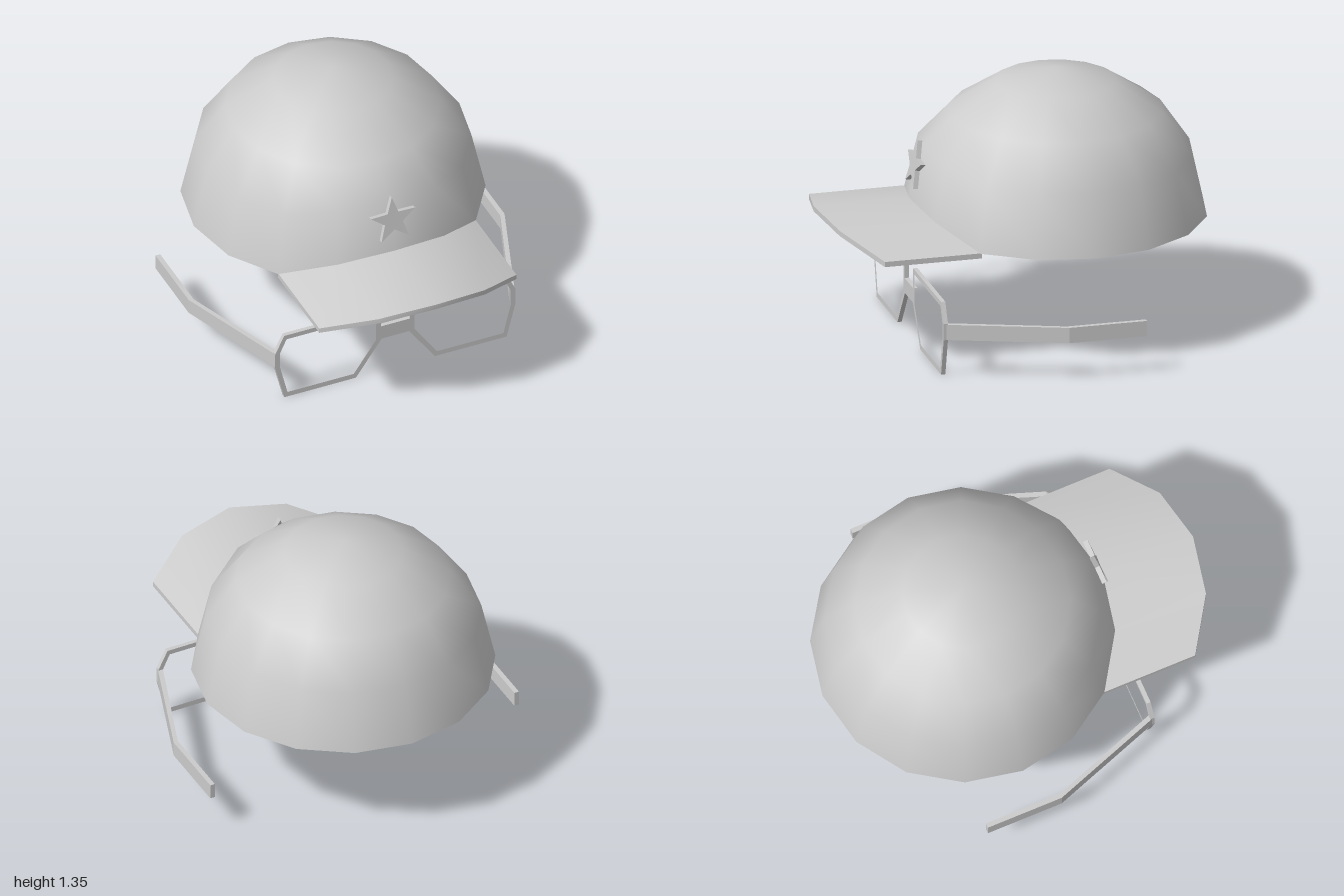
import * as THREE from 'three';
import { toCreasedNormals } from 'three/addons/utils/BufferGeometryUtils.js';

const material = new THREE.MeshStandardMaterial({ color: 0xcccccc });
const CAP_Z = -0.245;

function part(name, geometry, crease) {
  const mesh = new THREE.Mesh(crease ? toCreasedNormals(geometry, crease) : geometry, material);
  mesh.name = name;
  return mesh;
}

function moveVertices(geometry, rule) {
  const p = geometry.attributes.position;
  const v = new THREE.Vector3();
  for (let i = 0; i < p.count; i++) {
    rule(v.fromBufferAttribute(p, i));
    p.setXYZ(i, v.x, v.y, v.z);
  }
  return geometry;
}

const points = (list) => list.map(([x, y]) => new THREE.Vector2(x, y));

function extrude(shape, depth) {
  return new THREE.ExtrudeGeometry(shape, { depth, bevelEnabled: false });
}

// Thin 16-sided dome whose rim rises over the brim at the front
function crown() {
  const profile = points([
    [0.732, 0.595], [0.758, 0.595], [0.688, 0.91], [0.537, 1.13], [0.3, 1.283], [0, 1.348],
    [0, 1.318], [0.285, 1.255], [0.513, 1.108], [0.662, 0.9], [0.732, 0.595],
  ]);
  const lift = [1, 0.74, 0];
  const geometry = moveVertices(new THREE.LatheGeometry(profile, 16), (v) => {
    const step = Math.round(Math.abs(Math.atan2(v.x, v.z)) / (Math.PI / 8));
    const rise = v.y < 0.7 ? 0.125 : v.y < 1 ? 0.085 : 0;
    v.y += rise * (lift[step] ?? 0);
    v.z += CAP_Z;
  });
  return part('crown', geometry, 0.95);
}

// Arched brim: five stations across, following the crown at the back
function brim() {
  const xs = [-0.537, -0.29, 0, 0.29, 0.537];
  const back = [0.29, 0.455, 0.51, 0.455, 0.29];
  const top = [0.597, 0.692, 0.73, 0.692, 0.597];
  const geometry = moveVertices(new THREE.BoxGeometry(4, 1, 1, 4, 1, 1), (v) => {
    const i = Math.round(v.x) + 2;
    v.x = xs[i];
    v.y = top[i] - (v.y > 0 ? 0 : 0.027);
    v.z = back[i] + (v.z > 0 ? 0.49 : -0.01);
  });
  return part('brim', geometry, 0.5);
}

// Five-pointed badge leaning back against the crown
function star() {
  const corners = [];
  for (let i = 0; i < 10; i++) {
    const r = i % 2 ? 0.051 : 0.127;
    const a = Math.PI / 2 + (i * Math.PI) / 5;
    corners.push([r * Math.cos(a), r * Math.sin(a)]);
  }
  const mesh = part('star', extrude(new THREE.Shape(points(corners)), 0.025).translate(0, 0, -0.0125));
  mesh.position.set(0, 0.9, 0.477);
  mesh.rotation.x = -0.19;
  return mesh;
}

// Both rims and the bridge as one outline with two lens openings
function glassesFrame() {
  const half = [
    [0.08, 0.28], [0.08, 0.385], [0.605, 0.385], [0.655, 0.285], [0.655, 0.2],
    [0.605, 0.003], [0.215, 0.003], [0.075, 0.203],
  ];
  const hole = [
    [0.105, 0.36], [0.593, 0.36], [0.63, 0.28], [0.63, 0.203],
    [0.588, 0.03], [0.227, 0.03], [0.105, 0.205],
  ];
  const mirror = (list) => list.map(([x, y]) => [-x, y]).reverse();
  const shape = new THREE.Shape(points([...half, ...mirror(half)]));
  for (const h of [hole, mirror(hole)]) shape.holes.push(new THREE.Path(points(h)));
  return part('glassesFrame', extrude(shape, 0.022).translate(0, 0, 0.488));
}

// Bent side arm, drawn in plan (x, -z) and raised to its height
function temple(side) {
  const plan = [
    [0.63, 0.489], [0.655, 0.495], [0.86, -0.08],
    [0.86, -0.48], [0.835, -0.48], [0.835, -0.075],
  ].map(([x, z]) => [side * x, -z]);
  const geometry = extrude(new THREE.Shape(points(plan)), 0.08);
  geometry.rotateX(-Math.PI / 2).translate(0, 0.2, 0);
  return part(side > 0 ? 'leftTemple' : 'rightTemple', geometry);
}

export function createModel() {
  const model = new THREE.Group();
  const cap = new THREE.Group();
  cap.name = 'cap';
  cap.add(crown(), brim(), star());
  const glasses = new THREE.Group();
  glasses.name = 'glasses';
  glasses.add(glassesFrame(), temple(1), temple(-1));
  model.add(cap, glasses);
  return model;
}
